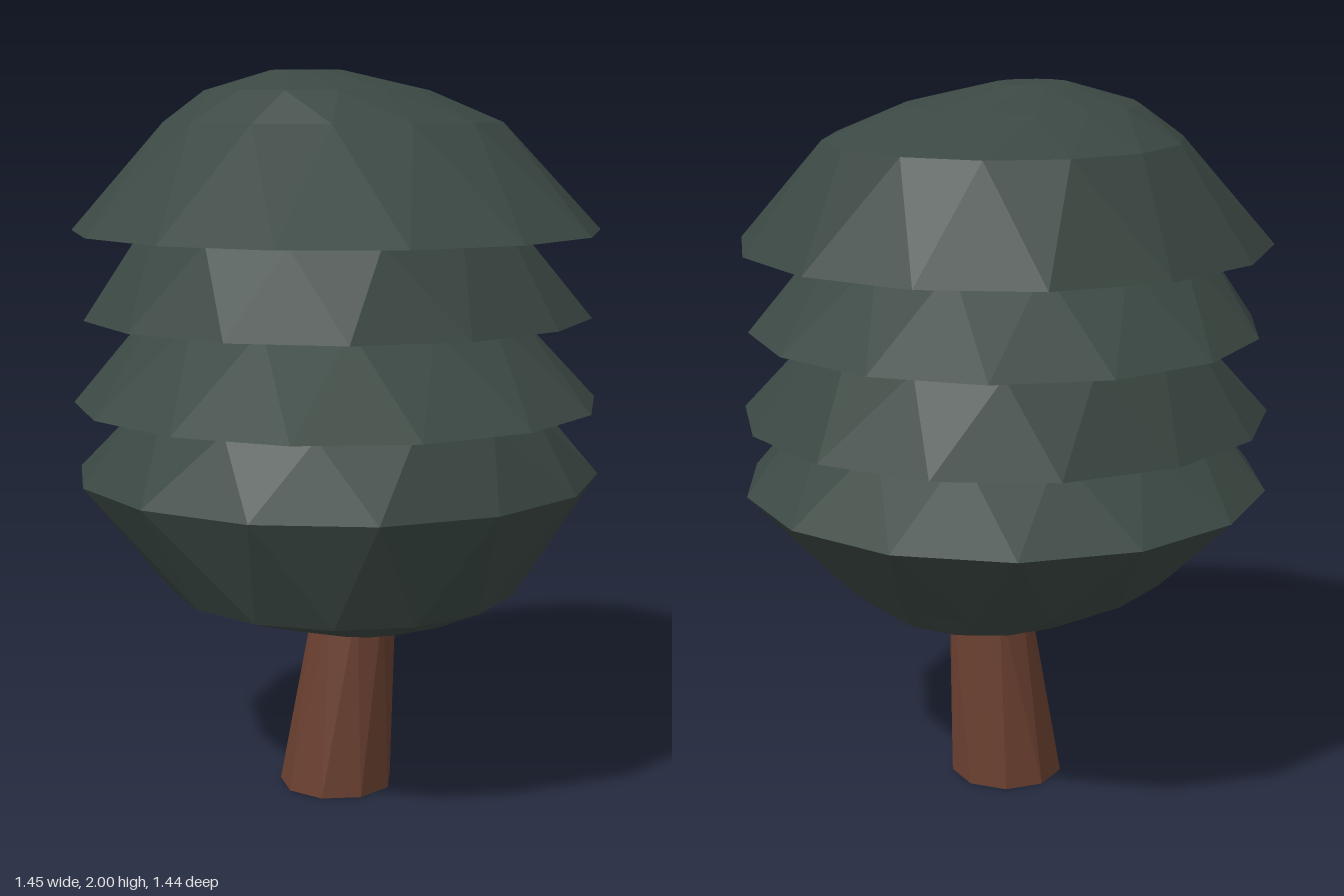
import * as THREE from 'three';

const leaf = new THREE.MeshStandardMaterial({ color: 0x3b4843, flatShading: true });
const bark = new THREE.MeshStandardMaterial({ color: 0x6a4030, flatShading: true });

// Closed solid lofted through rings [y, radius, centreX, centreZ, turn], listed bottom to top
function loft(name, rings, sides, material) {
  const pos = [], index = [];
  for (const [y, r, cx, cz, turn] of rings) {
    for (let i = 0; i < sides; i++) {
      const a = (i / sides) * Math.PI * 2 - turn;
      pos.push(cx + r * Math.cos(a), y, cz + r * Math.sin(a));
    }
  }
  for (let k = 0; k < rings.length - 1; k++) {
    for (let i = 0; i < sides; i++) {
      const j = (i + 1) % sides, a = k * sides, b = a + sides;
      index.push(a + i, b + i, b + j, a + i, b + j, a + j);
    }
  }
  // flat caps
  const top = (rings.length - 1) * sides;
  for (let i = 1; i < sides - 1; i++) {
    index.push(0, i, i + 1, top, top + i + 1, top + i);
  }
  const geo = new THREE.BufferGeometry();
  geo.setAttribute('position', new THREE.Float32BufferAttribute(pos, 3));
  geo.setIndex(index);
  geo.computeVertexNormals();
  const mesh = new THREE.Mesh(geo, material);
  mesh.name = name;
  return mesh;
}

export function createModel() {
  const tree = new THREE.Group();
  tree.name = 'tree';

  // Leaning, slightly twisted trunk
  tree.add(loft('trunk', [
    [0, 0.16, -0.025, 0.02, 0.1],
    [0.55, 0.115, 0.01, 0.06, 0.4],
  ], 9, bark));

  // Rounded lowest foliage
  tree.add(loft('lowerFoliage', [
    [0.465, 0.14, 0.01, 0.08, 0],
    [0.52, 0.31, 0, 0.08, 0.1],
    [0.6, 0.475, -0.07, 0.085, 0.2],
    [0.9, 0.725, 0, 0, 0.4],
    [1.1, 0.55, -0.06, 0.06, 0.6],
  ], 14, leaf));

  // Two skirts leaning opposite ways
  tree.add(loft('secondTier', [
    [1.1, 0.725, 0, 0, 0.1],
    [1.34, 0.515, 0.075, -0.08, 0.35],
  ], 14, leaf));
  tree.add(loft('thirdTier', [
    [1.34, 0.70, 0, 0, 0.3],
    [1.57, 0.515, -0.08, 0.05, 0.5],
  ], 14, leaf));

  // Top skirt with a domed crown
  tree.add(loft('crown', [
    [1.57, 0.725, 0, 0, 0.05],
    [1.86, 0.475, 0.08, -0.08, 0.25],
    [1.945, 0.31, 0.01, -0.08, 0.45],
    [2, 0.1, 0.005, -0.11, 0.65],
  ], 14, leaf));

  return tree;
}
